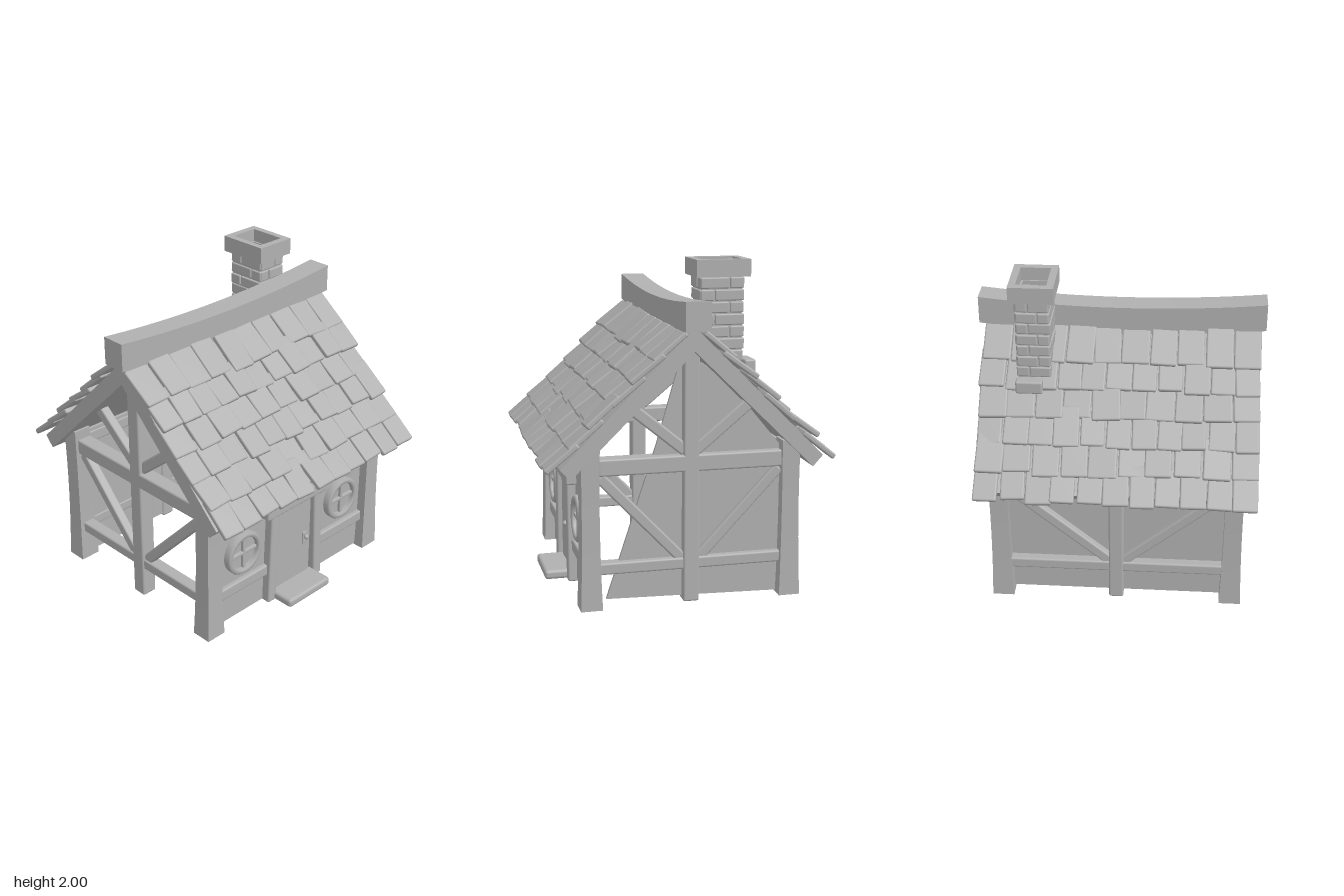
import * as THREE from 'three';
import { RoundedBoxGeometry } from 'three/addons/geometries/RoundedBoxGeometry.js';

export function createModel() {
  const house = new THREE.Group();
  house.name = 'cottage';
  const clay = new THREE.MeshStandardMaterial({ color: 0xb0b0b0 });
  clay.name = 'clay grey';

  let seed = 7;
  const rand = () => (seed = (seed * 16807) % 2147483647) / 2147483647;
  const jitter = (a) => (rand() - 0.5) * 2 * a;
  const V = (x, y, z) => new THREE.Vector3(x, y, z);

  function add(name, geometry, x = 0, y = 0, z = 0, parent = house) {
    const mesh = new THREE.Mesh(geometry, clay);
    mesh.name = name;
    mesh.position.set(x, y, z);
    parent.add(mesh);
    return mesh;
  }
  const block = (w, h, d, r = 0.012) => new RoundedBoxGeometry(w, h, d, 2, r);

  // Timber from a to b; n is the direction its depth is measured along
  function beam(name, a, b, width, depth, n) {
    const along = b.clone().sub(a);
    const mesh = add(name, block(width, along.length(), depth));
    const y = along.normalize();
    const x = y.clone().cross(n).normalize();
    mesh.quaternion.setFromRotationMatrix(new THREE.Matrix4().makeBasis(x, y, x.clone().cross(y)));
    mesh.position.copy(a).add(b).multiplyScalar(0.5);
    return mesh;
  }

  // Flat outline extruded along z, from z0 to z1
  function slab(name, points, z0, z1, hole) {
    const shape = new THREE.Shape(points.map(([x, y]) => new THREE.Vector2(x, y)));
    if (hole) shape.holes.push(new THREE.Path(hole.map(([x, y]) => new THREE.Vector2(x, y))));
    const g = new THREE.ExtrudeGeometry(shape, { depth: z1 - z0, bevelEnabled: false });
    return add(name, g, 0, 0, z0);
  }

  // Corner posts, swelling towards foot and head
  for (const sx of [-1, 1]) for (const sz of [-1, 1]) {
    const g = new THREE.BoxGeometry(0.105, 0.95, 0.11, 1, 8, 1);
    const p = g.attributes.position;
    for (let i = 0; i < p.count; i++) {
      const t = p.getY(i) / 0.475;
      const s = 1 + 0.14 * t * t - 0.08 * t;
      p.setXYZ(i, p.getX(i) * s, p.getY(i), p.getZ(i) * s);
    }
    g.computeVertexNormals();
    add('cornerPost', g, sx * 0.6, 0.475, sz * 0.71);
  }

  // Gable frames, front and back
  const zAxis = V(0, 0, 1), xAxis = V(1, 0, 0);
  for (const z of [0.7, -0.7]) {
    beam('gablePost', V(0, 0, z), V(0, 1.56, z), 0.095, 0.1, zAxis);
    beam('gableTieBeam', V(-0.55, 0.84, z), V(0.55, 0.84, z), 0.1, 0.1, zAxis);
    beam('gableSillBeam', V(-0.56, 0.235, z), V(0.56, 0.235, z), 0.07, 0.08, zAxis);
    for (const s of [-1, 1]) {
      beam('lowerBrace', V(s * 0.54, 0.78, z), V(s * 0.03, 0.24, z), 0.065, 0.06, zAxis);
      beam('upperBrace', V(s * 0.37, 1.19, z), V(s * 0.03, 0.91, z), 0.07, 0.06, zAxis);
    }
  }

  // Left-hand side frame
  beam('sidePost', V(-0.6, 0, 0), V(-0.6, 0.93, 0), 0.09, 0.09, xAxis);
  beam('sideSillBeam', V(-0.6, 0.235, -0.68), V(-0.6, 0.235, 0.68), 0.07, 0.08, xAxis);
  for (const s of [-1, 1])
    beam('sideBrace', V(-0.6, 0.78, s * 0.64), V(-0.6, 0.26, s * 0.03), 0.065, 0.06, xAxis);
  for (const x of [-0.6, 0.6])
    beam('wallPlate', V(x, 0.86, -0.7), V(x, 0.86, 0.7), 0.08, 0.08, xAxis);

  // Plaster panels: two side walls and the partly open back gable
  add('sidePanel', new THREE.BoxGeometry(0.02, 0.9, 1.36), -0.575, 0.47, 0);
  add('doorWallPanel', new THREE.BoxGeometry(0.03, 0.9, 1.36), 0.58, 0.46, 0);
  slab('backPanel', [[-0.56, 0.01], [0.5, 0.04], [0.2, 0.95], [0.05, 1.47], [-0.1, 1.4],
    [-0.37, 1.13], [-0.56, 0.9]], -0.7, -0.68);

  // Roof boards
  slab('roofBoards', [[0, 1.64], [-0.78, 0.86], [-0.72, 0.795], [0, 1.5], [0.72, 0.795], [0.78, 0.86]], -0.81, 0.82);

  // Roof tiles, six overlapping rows on each slope
  for (const s of [-1, 1]) for (let row = 0; row < 6; row++) {
    const count = 10 + (row % 2);
    const step = 1.67 / count;
    const tipX = 0.25 + 0.122 * row, tipY = 1.475 - 0.121 * row;
    for (let i = 0; i < count; i++) {
      const len = 0.245 + jitter(0.012);
      const tile = add('roofTile', block(len, 0.034, step * (0.98 + jitter(0.05)), 0.011));
      tile.position.set(s * (tipX - 0.095 + jitter(0.012)), tipY + 0.06 + jitter(0.007),
        -0.83 + (i + 0.5) * step + jitter(0.008));
      tile.rotation.set(jitter(0.05), jitter(0.04), -s * (0.67 + jitter(0.05)));
    }
  }

  // Sagging ridge beam
  const ridge = new THREE.BoxGeometry(0.15, 0.17, 1.73, 1, 1, 12);
  const rp = ridge.attributes.position;
  for (let i = 0; i < rp.count; i++)
    rp.setY(i, rp.getY(i) + 0.045 * (rp.getZ(i) / 0.865) ** 2);
  ridge.computeVertexNormals();
  add('ridgeBeam', ridge, -0.005, 1.66, 0);

  // Chimney: hollow core, staggered bricks and hollow cap
  const rect = (w, d) => [[-w / 2, -d / 2], [w / 2, -d / 2], [w / 2, d / 2], [-w / 2, d / 2]];
  const cx = -0.215, cz = -0.505;
  const shaft = slab('chimneyCore', rect(0.245, 0.185), 0, 0.65, rect(0.215, 0.155));
  const cap = slab('chimneyCap', rect(0.325, 0.265), 0, 0.1, rect(0.235, 0.18));
  shaft.position.set(cx, 1.27, cz);
  cap.position.set(cx, 1.9, cz);
  for (const m of [shaft, cap]) m.rotation.x = -Math.PI / 2;
  for (let row = 0; row < 9; row++) {
    const y = 1.295 + row * 0.071;
    const split = row % 2 ? 0.045 : -0.045;
    for (const s of [-1, 1]) {
      for (const [a, b] of [[-0.132, split], [split, 0.132]])
        add('chimneyBrick', block(b - a - 0.006, 0.064, 0.03, 0.008),
          cx + (a + b) / 2, y, cz + s * (0.088 + jitter(0.004)));
      for (const [a, b] of [[-0.1, split * 0.6], [split * 0.6, 0.1]])
        add('chimneyBrick', block(0.03, 0.064, b - a - 0.006, 0.008),
          cx + s * (0.118 + jitter(0.004)), y, cz + (a + b) / 2);
    }
  }
  add('chimneyFootBrick', block(0.07, 0.08, 0.16), -0.39, 1.37, -0.53);

  // Door, frame, handle and step
  add('door', block(0.04, 0.58, 0.32), 0.6, 0.34, 0);
  for (const s of [-1, 1])
    beam('doorJamb', V(0.61, 0, s * 0.21), V(0.61, 0.64, s * 0.19), 0.07, 0.08, xAxis);
  add('doorLintel', block(0.1, 0.08, 0.53), 0.61, 0.66, 0.005);
  add('handlePlate', block(0.012, 0.09, 0.035, 0.005), 0.624, 0.32, -0.1);
  add('doorKnob', new THREE.SphereGeometry(0.017, 12, 8), 0.642, 0.335, -0.1);
  add('doorStep', block(0.19, 0.058, 0.37, 0.02), 0.69, 0.03, 0.005);

  // Sill beams beside the door
  for (const s of [-1, 1])
    beam('doorWallSill', V(0.595, 0.235, s * 0.22), V(0.595, 0.235, s * 0.67), 0.075, 0.06, xAxis);

  // Round windows with cross bars
  const ringProfile = [[0.108, -0.05], [0.138, -0.05], [0.142, 0.03], [0.132, 0.042], [0.112, 0.042], [0.106, 0.03], [0.108, -0.05]];
  for (const z of [0.44, -0.445]) {
    const win = new THREE.Group();
    win.name = 'roundWindow';
    win.position.set(0.6, 0.465, z);
    win.rotation.z = -Math.PI / 2;
    house.add(win);
    add('windowRing', new THREE.LatheGeometry(ringProfile.map(([r, y]) => new THREE.Vector2(r, y)), 28), 0, 0, 0, win);
    add('windowPane', new THREE.CylinderGeometry(0.11, 0.11, 0.008, 28), 0, 0.005, 0, win);
    add('windowBar', block(0.21, 0.025, 0.024, 0.006), 0, 0.016, 0, win);
    add('windowBar', block(0.024, 0.025, 0.21, 0.006), 0, 0.016, 0, win);
  }
  return house;
}
